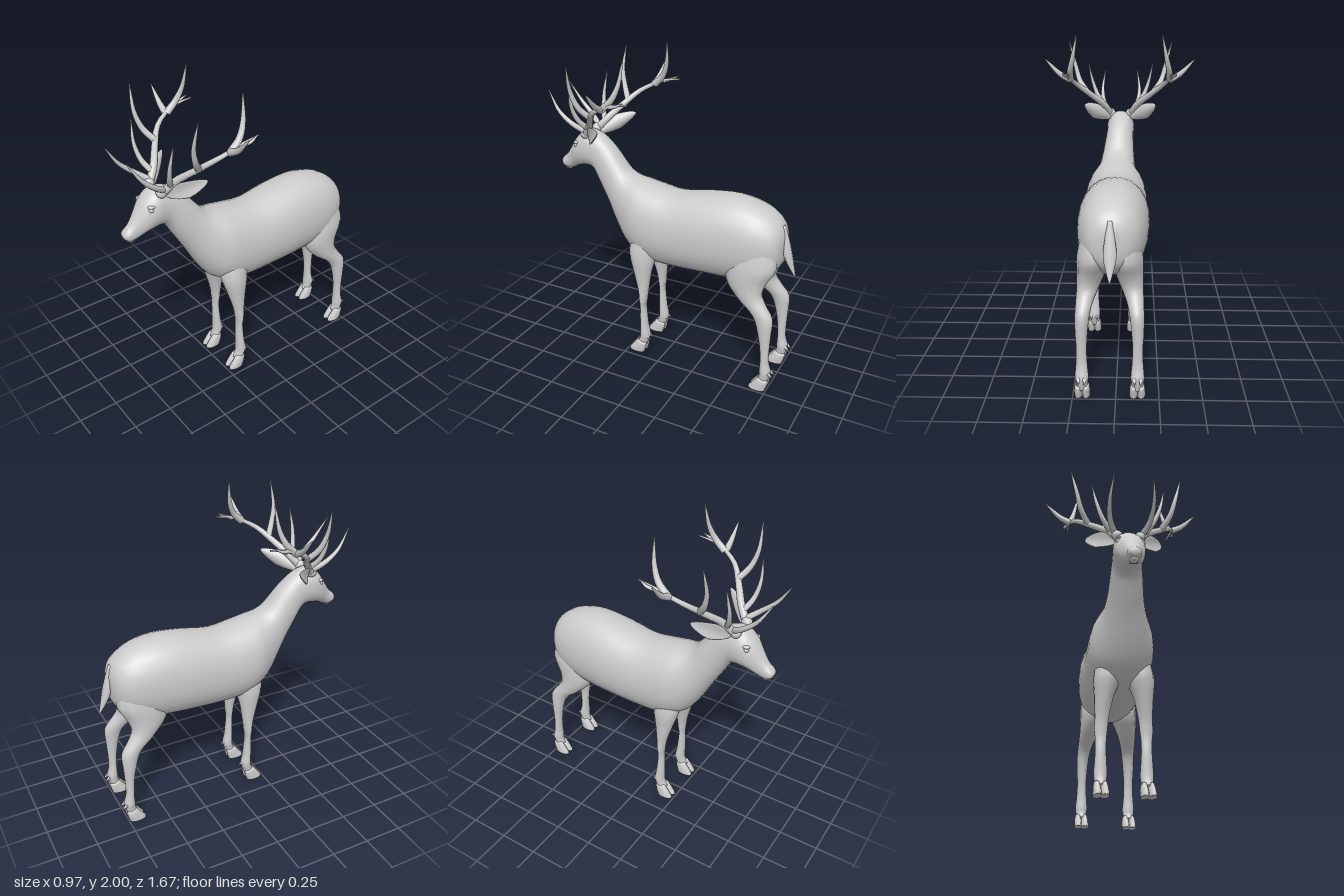
import * as THREE from 'three';

const mat = new THREE.MeshStandardMaterial({ color: 0xcccccc });
const V = (x, y, z) => new THREE.Vector3(x, y, z);

function add(parent, name, geo, pos = [0, 0, 0]) {
  const m = new THREE.Mesh(geo, mat);
  m.name = name;
  m.position.set(...pos);
  parent.add(m);
  return m;
}

// Catmull-Rom blend of one section into the next
function blend(rows, u) {
  const i = Math.min(Math.floor(u), rows.length - 2), t = u - i;
  const at = (k) => rows[Math.max(0, Math.min(rows.length - 1, k))];
  return rows[0].map((_, c) => {
    const [a, b, d, e] = [at(i - 1)[c], at(i)[c], at(i + 1)[c], at(i + 2)[c]];
    const m0 = (d - a) / 2, m1 = (e - b) / 2;
    return b + m0 * t + (3 * (d - b) - 2 * m0 - m1) * t * t + (2 * (b - d) + m0 + m1) * t * t * t;
  });
}

// Skin over oval sections. Row: [z, y of one edge, z, y of the opposite edge, half width, centre x]
function loft(rows, sides = 16, steps = 3, power = 1) {
  const pos = [], idx = [], rings = (rows.length - 1) * steps + 1;
  const soft = (v) => Math.sign(v) * Math.abs(v) ** power;
  for (let i = 0; i < rings; i++) {
    const [az, ay, bz, by, w, cx] = blend(rows, i / steps);
    for (let j = 0; j < sides; j++) {
      const a = (j / sides) * Math.PI * 2, c = soft(Math.cos(a)), s = soft(Math.sin(a));
      pos.push(cx + s * w, (ay + by) / 2 + (c * (ay - by)) / 2, (az + bz) / 2 + (c * (az - bz)) / 2);
    }
  }
  for (let i = 0; i < rings - 1; i++)
    for (let j = 0; j < sides; j++) {
      const a = i * sides + j, b = i * sides + ((j + 1) % sides);
      idx.push(a, a + sides, b, b, a + sides, b + sides);
    }
  // end caps
  for (const [row, start, flip] of [[rows[0], 0, false], [rows[rows.length - 1], (rings - 1) * sides, true]]) {
    const centre = pos.length / 3;
    pos.push(row[5], (row[1] + row[3]) / 2, (row[0] + row[2]) / 2);
    for (let j = 0; j < sides; j++) {
      const a = start + j, b = start + ((j + 1) % sides);
      idx.push(centre, flip ? b : a, flip ? a : b);
    }
  }
  const g = new THREE.BufferGeometry();
  g.setAttribute('position', new THREE.Float32BufferAttribute(pos, 3));
  g.setIndex(idx);
  g.computeVertexNormals();
  return g;
}

// Curved horn that narrows to a point
function tine(points, r0, r1 = 0.003) {
  const n = 14, sides = 8;
  const curve = new THREE.CatmullRomCurve3(points.map((p) => V(...p)));
  const g = new THREE.TubeGeometry(curve, n, 1, sides);
  const p = g.attributes.position, v = V(0, 0, 0);
  for (let i = 0; i <= n; i++) {
    const c = curve.getPointAt(i / n), r = r0 + (r1 - r0) * (i / n) ** 1.6;
    for (let j = 0; j <= sides; j++) {
      const k = i * (sides + 1) + j;
      v.fromBufferAttribute(p, k).sub(c).multiplyScalar(r).add(c);
      p.setXYZ(k, v.x, v.y, v.z);
    }
  }
  return g;
}

// Cupped, pointed leaf lying between base and tip
function earGeometry(base, tip) {
  const g = new THREE.SphereGeometry(1, 14, 12), p = g.attributes.position;
  const len = base.distanceTo(tip);
  for (let i = 0; i < p.count; i++) {
    const x = p.getX(i), y = p.getY(i), z = p.getZ(i);
    const w = 0.052 * (y > 0 ? 1 - 0.35 * y : 1 + 0.25 * y);
    p.setXYZ(i, x * w, (y * len) / 2, z * 0.014 + 0.022 * x * x - 0.01);
  }
  const up = tip.clone().sub(base).normalize();
  const face = V(1, 0, 1).addScaledVector(up, -V(1, 0, 1).dot(up)).normalize();
  g.applyMatrix4(new THREE.Matrix4().makeBasis(up.clone().cross(face), up, face));
  g.translate(...base.clone().add(tip).multiplyScalar(0.5).toArray());
  g.computeVertexNormals();
  return g;
}

// Trunk, neck and head from rump to muzzle
const bodyRows = [
  [-0.758, 1.01, -0.755, 0.87, 0.05, 0.03], [-0.735, 1.075, -0.735, 0.8, 0.115, 0.03],
  [-0.68, 1.13, -0.66, 0.74, 0.165, 0.025], [-0.58, 1.18, -0.56, 0.69, 0.195, 0.025],
  [-0.43, 1.205, -0.43, 0.665, 0.21, 0.022], [-0.25, 1.188, -0.25, 0.655, 0.215, 0.02],
  [-0.05, 1.155, -0.05, 0.645, 0.205, 0.02], [0.1, 1.172, 0.1, 0.65, 0.203, 0.02],
  [0.2, 1.19, 0.2, 0.68, 0.195, 0.02], [0.27, 1.207, 0.29, 0.735, 0.163, 0.02],
  [0.32, 1.235, 0.37, 0.85, 0.132, 0.018], [0.365, 1.285, 0.44, 0.98, 0.112, 0.013],
  [0.42, 1.35, 0.51, 1.1, 0.1, 0.008], [0.48, 1.405, 0.567, 1.195, 0.092, 0.003],
  [0.54, 1.442, 0.61, 1.212, 0.092, 0], [0.62, 1.458, 0.655, 1.208, 0.095, 0],
  [0.69, 1.41, 0.7, 1.197, 0.082, 0], [0.74, 1.34, 0.735, 1.178, 0.058, 0],
  [0.785, 1.272, 0.775, 1.165, 0.043, 0], [0.82, 1.24, 0.81, 1.172, 0.04, 0],
  [0.836, 1.218, 0.83, 1.188, 0.022, 0],
];

// Leg rows: front edge, back edge, half width, offset from the midline
const frontLeg = [
  [0.22, 0.88, 0.06, 0.88, 0.06, 0.095], [0.25, 0.74, 0.07, 0.71, 0.083, 0.102],
  [0.215, 0.6, 0.092, 0.6, 0.058, 0.12], [0.18, 0.48, 0.11, 0.47, 0.042, 0.13],
  [0.168, 0.41, 0.118, 0.4, 0.04, 0.135], [0.162, 0.35, 0.125, 0.35, 0.034, 0.135],
  [0.166, 0.28, 0.118, 0.28, 0.032, 0.135], [0.166, 0.2, 0.11, 0.2, 0.036, 0.135],
  [0.166, 0.14, 0.098, 0.13, 0.04, 0.135], [0.172, 0.1, 0.112, 0.08, 0.034, 0.135],
  [0.19, 0.07, 0.125, 0.05, 0.038, 0.135],
];
const hindLeg = [
  [-0.45, 0.97, -0.71, 0.97, 0.075, 0.085], [-0.42, 0.82, -0.745, 0.83, 0.095, 0.095],
  [-0.435, 0.7, -0.695, 0.73, 0.083, 0.11], [-0.53, 0.59, -0.672, 0.65, 0.063, 0.13],
  [-0.6, 0.54, -0.705, 0.585, 0.05, 0.145], [-0.645, 0.485, -0.757, 0.51, 0.042, 0.155],
  [-0.672, 0.4, -0.755, 0.4, 0.036, 0.16], [-0.69, 0.3, -0.75, 0.3, 0.03, 0.16],
  [-0.697, 0.2, -0.75, 0.2, 0.034, 0.16], [-0.695, 0.14, -0.768, 0.13, 0.04, 0.16],
  [-0.695, 0.1, -0.757, 0.08, 0.034, 0.16], [-0.683, 0.07, -0.75, 0.05, 0.038, 0.16],
];

function addLeg(parent, name, rows, side, footZ) {
  const leg = new THREE.Group();
  leg.name = name;
  parent.add(leg);
  const mid = 0.035;
  add(leg, 'limb', loft(rows.map((r) => [...r.slice(0, 5), mid + side * r[5]]), 14));
  const x = mid + side * rows[rows.length - 1][5];
  // cloven hoof and dewclaws
  for (const k of [-1, 1]) {
    add(leg, 'hoofToe', loft([
      [0.182, 0.09, 0.115, 0.075, 0.018, 0], [0.21, 0.055, 0.12, 0.04, 0.024, 0],
      [0.24, 0.014, 0.13, 0.008, 0.025, 0], [0.24, 0, 0.13, 0, 0.025, 0],
    ], 10, 2), [x + k * 0.022, 0, footZ]);
    const claw = add(leg, 'dewclaw', new THREE.ConeGeometry(0.014, 0.045, 8), [x + k * 0.018, 0.118, footZ + 0.1]);
    claw.rotation.x = -2.2;
  }
}

// Antler, eye and ear of the left side
function headSide() {
  const g = new THREE.Group();
  const antler = new THREE.Group();
  antler.name = 'antler';
  g.add(antler);
  add(antler, 'mainBeam', tine([[0.065, 1.43, 0.61], [0.11, 1.51, 0.545], [0.2, 1.59, 0.475], [0.285, 1.665, 0.4],
    [0.325, 1.715, 0.31], [0.335, 1.745, 0.23], [0.33, 1.76, 0.13]], 0.024, 0.005));
  add(antler, 'browTine', tine([[0.075, 1.46, 0.59], [0.115, 1.51, 0.66], [0.13, 1.59, 0.75], [0.115, 1.715, 0.833]], 0.019));
  add(antler, 'secondTine', tine([[0.095, 1.49, 0.56], [0.15, 1.555, 0.597], [0.19, 1.65, 0.615], [0.22, 1.785, 0.605]], 0.019));
  add(antler, 'thirdTine', tine([[0.225, 1.61, 0.455], [0.275, 1.68, 0.505], [0.305, 1.78, 0.535], [0.345, 1.94, 0.53]], 0.021));
  add(antler, 'topTine', tine([[0.322, 1.71, 0.31], [0.318, 1.77, 0.25], [0.3, 1.85, 0.212], [0.27, 2, 0.19]], 0.022));
  add(antler, 'outerTine', tine([[0.32, 1.705, 0.315], [0.39, 1.745, 0.312], [0.485, 1.84, 0.31]], 0.022));
  add(antler, 'rearTine', tine([[0.335, 1.735, 0.25], [0.355, 1.75, 0.2], [0.35, 1.775, 0.15]], 0.013));
  add(antler, 'antlerBase', new THREE.SphereGeometry(0.033, 12, 8), [0.068, 1.445, 0.605]);
  add(g, 'ear', earGeometry(V(0.075, 1.415, 0.585), V(0.245, 1.53, 0.412)));
  add(g, 'eye', new THREE.SphereGeometry(0.017, 12, 8), [0.07, 1.358, 0.678]);
  add(g, 'browRidge', new THREE.SphereGeometry(0.022, 12, 8), [0.067, 1.375, 0.672]).scale.set(0.9, 0.5, 1.2);
  add(g, 'nostril', new THREE.SphereGeometry(0.016, 10, 8), [0.022, 1.212, 0.815]);
  return g;
}

export function createModel() {
  const deer = new THREE.Group();
  deer.name = 'stag';
  add(deer, 'body', loft(bodyRows, 28, 3, 0.92));
  add(deer, 'lowerLip', new THREE.SphereGeometry(0.028, 12, 8), [0, 1.173, 0.787]).scale.set(1, 0.6, 1.1);
  add(deer, 'tail', loft([
    [-0.725, 1.07, -0.75, 1.07, 0.012, 0.03], [-0.74, 0.97, -0.78, 0.97, 0.03, 0.03],
    [-0.755, 0.87, -0.805, 0.87, 0.038, 0.03], [-0.825, 0.748, -0.833, 0.745, 0.004, 0.03],
  ], 10, 4));
  for (const side of [1, -1]) {
    const label = side > 0 ? 'left' : 'right';
    addLeg(deer, label + 'FrontLeg', frontLeg, side, 0);
    addLeg(deer, label + 'HindLeg', hindLeg, side, -0.875);
    const half = headSide();
    half.name = label + 'HeadParts';
    half.scale.x = side;
    deer.add(half);
  }
  return deer;
}
